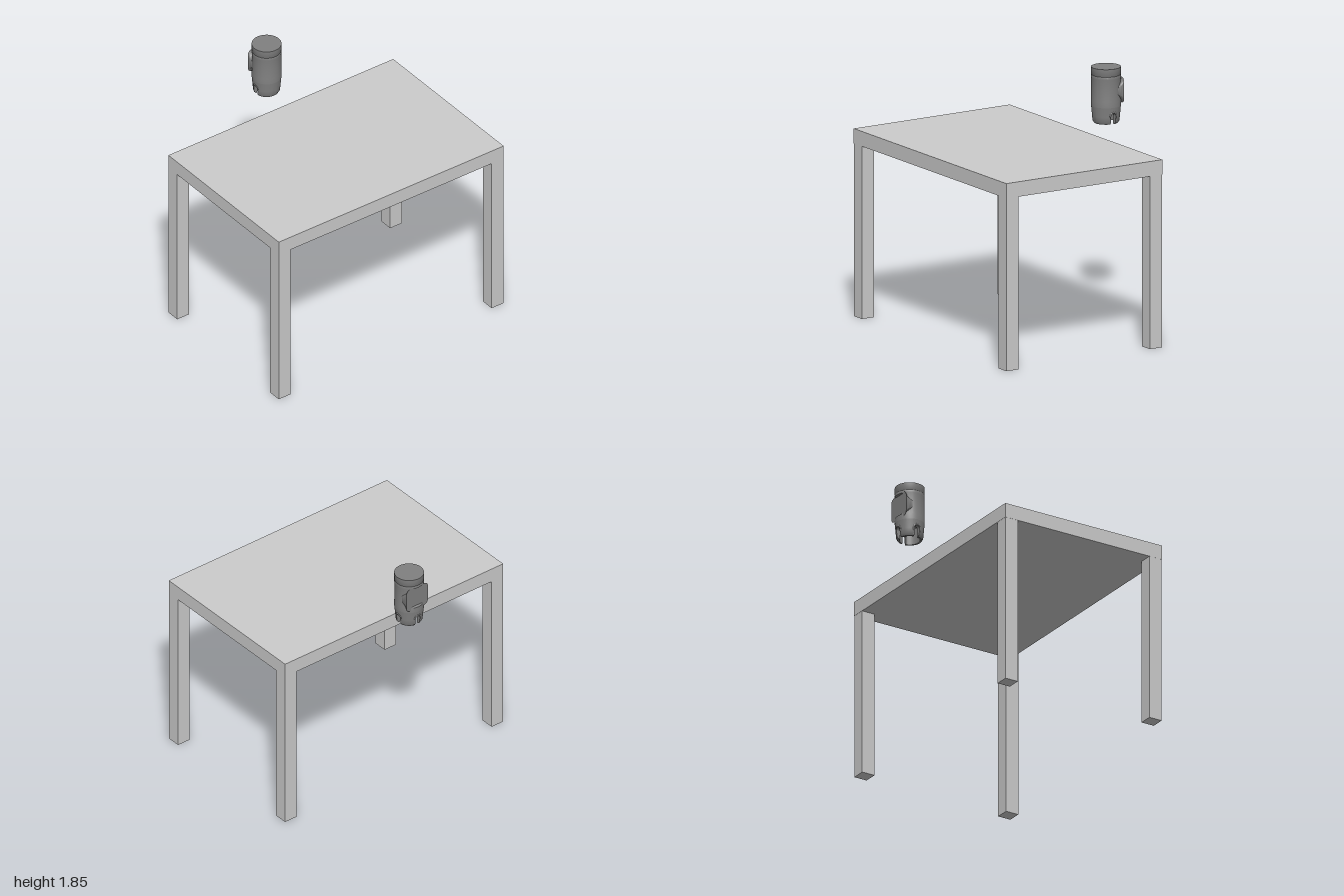
import * as THREE from 'three';
import { toCreasedNormals } from 'three/addons/utils/BufferGeometryUtils.js';

const CZ = -0.7;       // z of the canister axis
const FLAT = -0.79;    // z of the flat on its back
const RIM_Y = 1.56;    // where the crown meets the body
const SLOTS = [0.5, 1, 1.5].map(k => k * Math.PI);

const onCylinder = (r, a, y) => new THREE.Vector3(r * Math.sin(a), y, r * Math.cos(a));

// outer radius of the tapered crown at height y
function crownRadius(y) {
  const p = [[1.435, 0.087], [1.452, 0.097], [1.53, 0.104], [RIM_Y, 0.107]];
  for (let i = 1; i < p.length; i++) {
    if (y <= p[i][0]) {
      return THREE.MathUtils.mapLinear(y, p[i - 1][0], p[i][0], p[i - 1][1], p[i][1]);
    }
  }
  return 0.107;
}

// hollow ring with arched slots: one closed cross-section per column
function crownGeometry() {
  const half = 0.2, low = 1.435;
  const columns = [];
  let from = 0;
  for (const end of [...SLOTS, 2 * Math.PI]) {
    const to = end === 2 * Math.PI ? end : end - half;
    for (let i = 0; i <= 14; i++) columns.push([from + (to - from) * i / 14, low]);
    if (end === 2 * Math.PI) break;
    for (let i = 0; i <= 12; i++) {
      const k = -Math.cos(Math.PI * i / 12);
      columns.push([end + half * k, 1.495 + 0.021 * Math.sqrt(Math.max(0, 1 - k * k))]);
    }
    from = end + half;
  }
  const levels = [low, 1.452, 1.49, 1.53, RIM_Y];
  const n = levels.length * 2, pos = [], index = [];
  columns.forEach(([a, bottom], i) => {
    const ys = levels.map(y => Math.max(y, bottom));
    for (const y of ys) pos.push(...onCylinder(crownRadius(y), a, y));
    for (const y of ys.reverse()) pos.push(...onCylinder(0.074, a, y));
    if (i === columns.length - 1) return;
    for (let j = 0; j < n; j++) {
      const k = (j + 1) % n, p = i * n, q = p + n;
      index.push(p + j, q + j, q + k, p + j, q + k, p + k);
    }
  });
  const g = new THREE.BufferGeometry();
  g.setAttribute('position', new THREE.Float32BufferAttribute(pos, 3));
  g.setIndex(index);
  return toCreasedNormals(g, 0.6);
}

// turned body with a flat cut into the back
function bodyGeometry() {
  const profile = [
    [0, RIM_Y], [0.107, RIM_Y], [0.107, 1.6], [0.106, 1.61], [0.106, 1.68], [0.106, 1.762],
    [0.107, 1.768], [0.107, 1.785], [0.105, 1.788], [0.107, 1.791], [0.107, 1.845], [0, 1.845],
  ].map(p => new THREE.Vector2(...p));
  const g = new THREE.LatheGeometry(profile, 64);
  const p = g.attributes.position;
  for (let i = 0; i < p.count; i++) {
    const y = p.getY(i);
    if (y > 1.605 && y < 1.765) p.setZ(i, Math.max(p.getZ(i), FLAT - CZ));
  }
  return toCreasedNormals(g, 0.6);
}

// rounded back plate whose side wings narrow in height towards the body
function padGeometry() {
  const w = 0.098, h = 0.095, r = 0.035;
  const s = new THREE.Shape();
  s.absarc(w - r, h - r, r, 0, Math.PI / 2);
  s.absarc(r - w, h - r, r, Math.PI / 2, Math.PI);
  s.absarc(r - w, r - h, r, Math.PI, Math.PI * 1.5);
  s.absarc(w - r, r - h, r, Math.PI * 1.5, Math.PI * 2);
  const depth = 0.06;
  const g = new THREE.ExtrudeGeometry(s, { depth, steps: 6, bevelEnabled: false, curveSegments: 8 });
  const p = g.attributes.position;
  for (let i = 0; i < p.count; i++) {
    const t = p.getZ(i) / depth;
    p.setY(i, p.getY(i) * (1 - 0.65 * Math.sqrt(t)));
  }
  return toCreasedNormals(g, 0.7);
}

// raised lip following a slot's arch
function slotLipGeometry(angle) {
  const pts = [];
  const add = (arc, y) => pts.push(onCylinder(crownRadius(y) - 0.004, angle + arc / 0.105, y));
  add(-0.028, 1.445);
  for (let i = 0; i <= 10; i++) {
    const a = Math.PI * (1 - i / 10);
    add(0.028 * Math.cos(a), 1.497 + 0.028 * Math.sin(a));
  }
  add(0.028, 1.445);
  return new THREE.TubeGeometry(new THREE.CatmullRomCurve3(pts), 40, 0.007, 8);
}

export function createModel() {
  const model = new THREE.Group();
  const light = new THREE.MeshStandardMaterial({ color: 0xcccccc });
  const dark = new THREE.MeshStandardMaterial({ color: 0x808080 });
  const add = (parent, name, geometry, material, x = 0, y = 0, z = 0) => {
    const mesh = new THREE.Mesh(geometry, material);
    mesh.name = name;
    mesh.position.set(x, y, z);
    parent.add(mesh);
  };

  // table
  const table = new THREE.Group();
  table.name = 'table';
  model.add(table);
  add(table, 'tableTop', new THREE.BoxGeometry(2, 0.11, 1.333), light, 0, 1.328, 0.138);
  const leg = new THREE.BoxGeometry(0.104, 1.273, 0.104);
  for (const [side, x] of [['left', 0.947], ['right', -0.947]]) {
    add(table, side + 'FrontLeg', leg, light, x, 0.6365, 0.751);
    add(table, side + 'BackLeg', leg, light, x, 0.6365, -0.475);
  }

  // canister floating behind the table
  const canister = new THREE.Group();
  canister.name = 'canister';
  canister.position.z = CZ;
  model.add(canister);
  add(canister, 'canisterBody', bodyGeometry(), dark);
  add(canister, 'slottedCrown', crownGeometry(), dark);
  add(canister, 'backPad', padGeometry(), dark, 0, 1.675, FLAT - CZ - 0.002);
  for (const a of SLOTS) add(canister, 'slotLip', slotLipGeometry(a), dark);
  return model;
}
